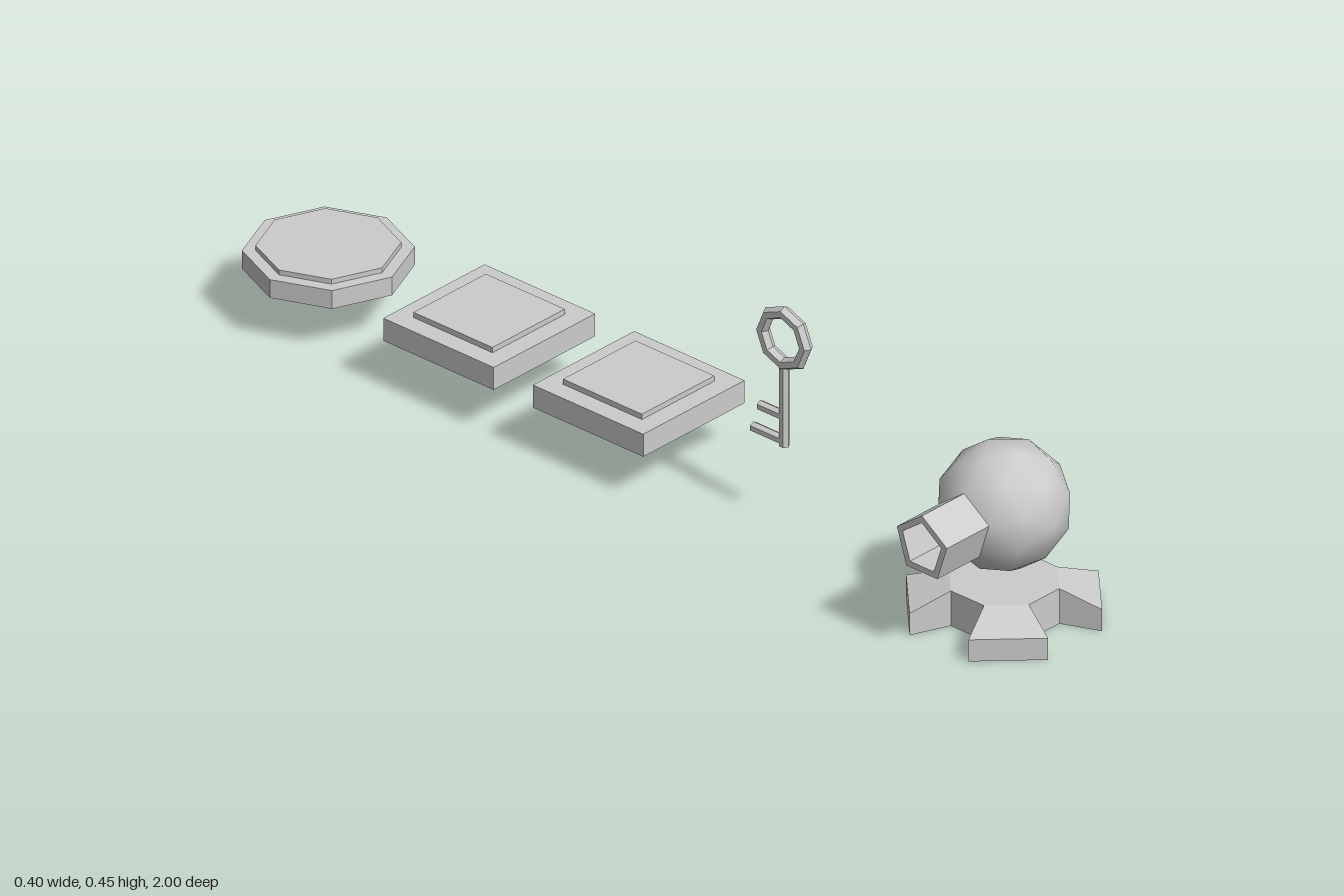
import * as THREE from 'three';

const mat = new THREE.MeshStandardMaterial({ color: 0xcccccc, flatShading: true, side: THREE.DoubleSide });
const smoothMat = new THREE.MeshStandardMaterial({ color: 0xcccccc });

function add(parent, name, geometry, x, y, z, material = mat) {
  const mesh = new THREE.Mesh(geometry, material);
  mesh.name = name;
  mesh.position.set(x, y, z);
  parent.add(mesh);
  return mesh;
}

function addGroup(parent, name, x, y, z) {
  const group = new THREE.Group();
  group.name = name;
  group.position.set(x, y, z);
  parent.add(group);
  return group;
}

// Points of a regular polygon with one corner pointing up
function polygon(sides, r) {
  return Array.from({ length: sides }, (_, i) => {
    const a = Math.PI / 2 + (i / sides) * Math.PI * 2;
    return new THREE.Vector2(Math.cos(a) * r, Math.sin(a) * r);
  });
}

// Foot that flares outward along +z while its top slopes down
function footGeometry(inner, innerHalf, flare, innerTop, outerTop) {
  const geo = new THREE.BoxGeometry(1, 1, 1);
  const p = geo.attributes.position;
  for (let i = 0; i < p.count; i++) {
    const out = p.getZ(i) > 0;
    const s = out ? flare : 1;
    const top = out ? outerTop : innerTop;
    p.setXYZ(i, Math.sign(p.getX(i)) * innerHalf * s, p.getY(i) > 0 ? top : 0, inner * s);
  }
  geo.computeVertexNormals();
  return geo;
}

function buildTurret(parent) {
  const turret = addGroup(parent, 'turret', 0.0215, 0, 0.827);

  // Octagonal base with four sloping feet on the diagonals
  const R = 0.107, H = 0.073, half = Math.PI / 8;
  add(turret, 'baseHub', new THREE.CylinderGeometry(R, R, H, 8), 0, H / 2, 0).rotation.y = half;
  const foot = footGeometry(R * Math.cos(half), R * Math.sin(half), 1.775, H, 0.045);
  for (let i = 0; i < 4; i++) {
    add(turret, 'baseFoot', foot, 0, 0, 0).rotation.y = Math.PI / 4 + (i * Math.PI) / 2;
  }

  // Faceted ball, turned so that one corner points along the barrel axis
  const ball = new THREE.IcosahedronGeometry(0.1265, 1);
  ball.rotateZ(-Math.PI + Math.atan((1 + Math.sqrt(5)) / 2));
  add(turret, 'ball', ball, 0, 0.229, 0, smoothMat);

  // Hollow five-sided barrel pointing to -x
  const shape = new THREE.Shape(polygon(5, 0.065));
  shape.holes.push(new THREE.Path(polygon(5, 0.05).reverse()));
  const barrel = new THREE.ExtrudeGeometry(shape, { depth: 0.15, bevelEnabled: false });
  barrel.rotateY(-Math.PI / 2);
  add(turret, 'barrel', barrel, -0.0715, 0.23, 0);
}

function buildKey(parent) {
  const key = addGroup(parent, 'key', 0.0075, 0, 0.297);
  const bow = new THREE.TorusGeometry(0.053, 0.013, 6, 8);
  bow.rotateY(Math.PI / 2);
  add(key, 'keyBow', bow, 0, 0.381, 0);

  const r = 0.01;
  add(key, 'keyStem', new THREE.CylinderGeometry(r, r, 0.173, 6), 0, 0.2435, 0);

  // Two teeth reaching backward, the lower one longer
  for (const [y, length] of [[0.219, 0.06], [0.168, 0.077]]) {
    const tooth = new THREE.CylinderGeometry(r, r, length, 6);
    tooth.rotateX(Math.PI / 2);
    add(key, 'keyTooth', tooth, 0, y, -length / 2);
  }
}

function buildPlates(parent) {
  // Two square plates with a raised pad
  for (const z of [-0.0755, -0.445]) {
    const plate = addGroup(parent, 'squarePlate', 0.021, 0.095, z);
    add(plate, 'plateSlab', new THREE.BoxGeometry(0.273, 0.047, 0.273), 0, 0.0235, 0);
    add(plate, 'platePad', new THREE.BoxGeometry(0.195, 0.011, 0.195), 0, 0.0525, 0);
  }

  // Octagonal plate with a raised pad
  const round = addGroup(parent, 'octagonPlate', 0.0205, 0.095, -0.842);
  add(round, 'plateSlab', new THREE.CylinderGeometry(0.1575, 0.1575, 0.038, 8), 0, 0.019, 0);
  add(round, 'platePad', new THREE.CylinderGeometry(0.133, 0.133, 0.01, 8), 0, 0.043, 0);
}

export function createModel() {
  const model = new THREE.Group();
  model.name = 'puzzlePieces';
  buildTurret(model);
  buildKey(model);
  buildPlates(model);
  return model;
}
